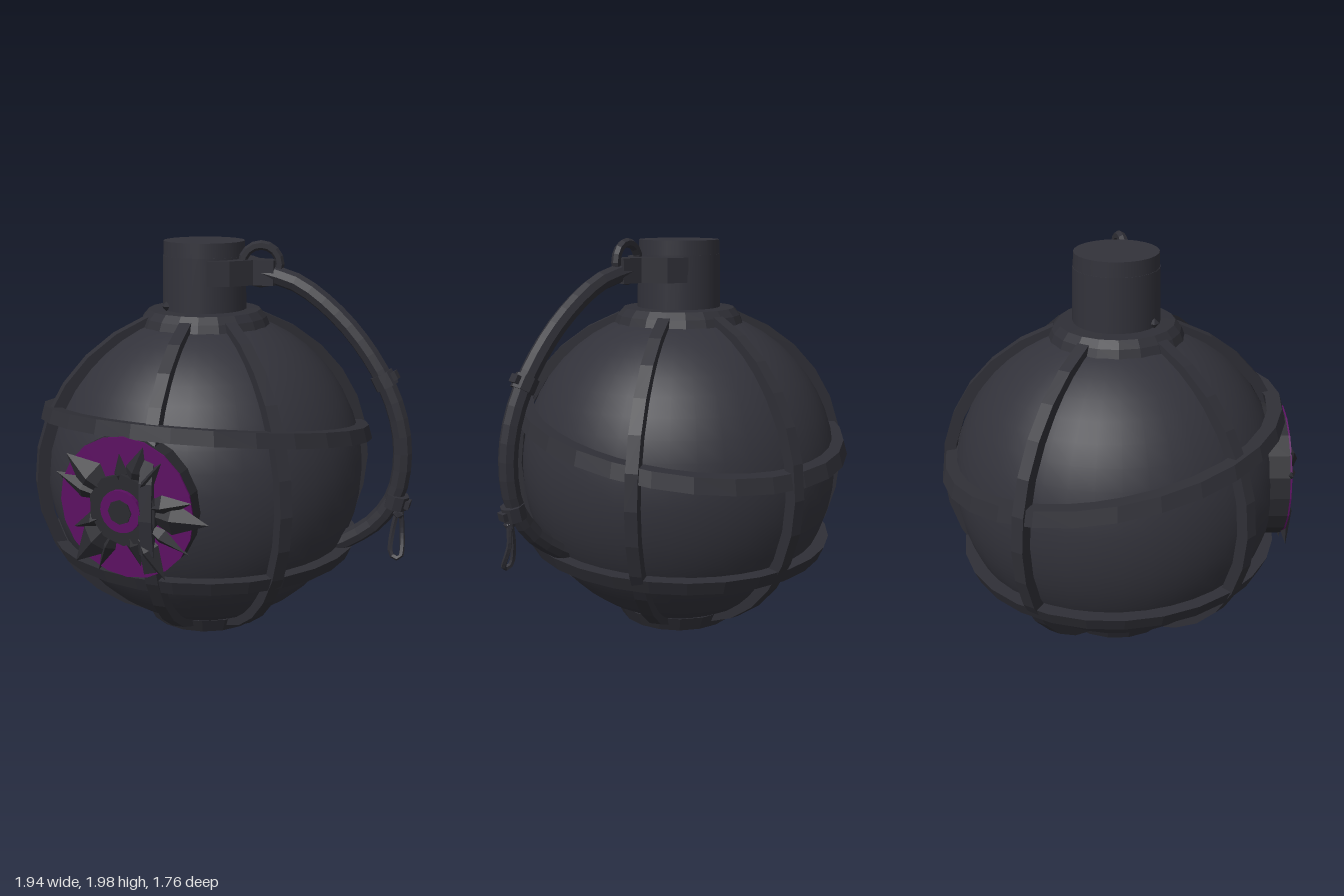
import * as THREE from 'three';

const CX = -0.12, CY = 0.83, CZ = -0.02; // centre of the round body

export function createModel() {
  const model = new THREE.Group();
  const mat = (name, color, flatShading = false) =>
    Object.assign(new THREE.MeshStandardMaterial({ color, flatShading }), { name });
  const shell = mat('charcoal shell', 0x32323a);
  const strap = mat('dark strap', 0x2f2f36, true);
  const petalDark = mat('dark petal', 0x2a2a2f, true);
  const purple = mat('purple', 0x5c1062, true);

  const add = (name, geometry, material, x = 0, y = 0, z = 0, parent = model) => {
    const mesh = new THREE.Mesh(geometry, material);
    mesh.name = name;
    mesh.position.set(x, y, z);
    parent.add(mesh);
    return mesh;
  };
  const v2 = (x, y) => new THREE.Vector2(x, y);
  const v3 = (x, y, z) => new THREE.Vector3(x, y, z);
  const rad = THREE.MathUtils.degToRad;

  // Round body
  const bodyProfile = [];
  for (let i = 0; i <= 20; i++) {
    const a = rad(-72 + i * 7.2);
    bodyProfile.push(v2(0.81 * Math.cos(a), 0.81 * Math.sin(a)));
  }
  add('body', new THREE.LatheGeometry(bodyProfile, 40), shell, CX, CY, CZ);

  // Flat foot, collar and neck
  add('foot', new THREE.CylinderGeometry(0.34, 0.3, 0.08, 18), strap, CX, 0.05, CZ);
  add('collar', new THREE.LatheGeometry(
    [v2(0.33, 1.56), v2(0.31, 1.61), v2(0.28, 1.645), v2(0.19, 1.65)], 20), strap, CX, 0, CZ);
  add('neck', new THREE.CylinderGeometry(0.205, 0.21, 0.28, 24), shell, CX, 1.77, CZ);
  add('neckCap', new THREE.CylinderGeometry(0.2, 0.203, 0.08, 24), shell, CX, 1.94, CZ);
  add('neckRivet', new THREE.OctahedronGeometry(0.025), strap, -0.25, 1.67, 0.15);

  // Upright ribs, bowed around the body
  const ribPoints = [];
  for (let i = 0; i <= 12; i++) {
    const a = rad(-70 + i * 140 / 12);
    ribPoints.push(v2(0.88 * Math.cos(a), 0.84 * Math.sin(a)));
  }
  for (let i = 12; i >= 0; i--) {
    const a = rad(-70 + i * 140 / 12);
    ribPoints.push(v2(0.82 * Math.cos(a), 0.79 * Math.sin(a)));
  }
  const ribGeometry = new THREE.ExtrudeGeometry(new THREE.Shape(ribPoints),
    { depth: 0.06, bevelEnabled: false }).translate(0, 0, -0.03);
  for (const angle of [6, 48, 124, 177, -122, -48]) {
    add('rib', ribGeometry, strap, CX, CY, CZ).rotation.y = rad(angle - 90);
  }

  // Tilted bands: a leaning closed profile, sheared along z
  const band = (name, y, z, low, high, slope) => {
    const g = new THREE.LatheGeometry([
      v2(low - 0.07, -0.035), v2(low, -0.035), v2(high, 0.035),
      v2(high - 0.07, 0.035), v2(low - 0.07, -0.035)], 28);
    const p = g.attributes.position;
    for (let i = 0; i < p.count; i++) p.setY(i, p.getY(i) + p.getZ(i) * slope);
    g.computeVertexNormals();
    add(name, g, strap, CX, y, z);
  };
  band('upperBand', 1.07, -0.045, 0.85, 0.83, 0.178);
  band('lowerBand', 0.455, -0.01, 0.77, 0.8, 0.035);

  // Front rosette
  const rosette = new THREE.Group();
  rosette.name = 'rosette';
  rosette.position.set(-0.15, 0.86, 0);
  model.add(rosette);
  const disc = (name, r, z0, z1, material, sides = 20) =>
    add(name, new THREE.CylinderGeometry(r, r, z1 - z0, sides).rotateX(Math.PI / 2),
      material, 0, 0, (z0 + z1) / 2, rosette);
  disc('rosetteBase', 0.335, 0.66, 0.797, petalDark);
  disc('rosetteFace', 0.335, 0.797, 0.805, purple);
  disc('rosetteHub', 0.17, 0.8, 0.835, petalDark, 10);
  // angle, tip distance, half width
  const petals = [[72, 0.33, 0.06], [52, 0.3, 0.04], [142, 0.37, 0.085], [160, 0.38, 0.06],
    [205, 0.3, 0.04], [228, 0.4, 0.08], [245, 0.36, 0.04], [285, 0.28, 0.045],
    [302, 0.37, 0.06], [330, 0.36, 0.04], [357, 0.41, 0.08], [12, 0.34, 0.05], [95, 0.27, 0.04]];
  petals.forEach(([angle, tip, width], i) => {
    const half = (tip - 0.06) / 2, mid = 0.06 + half;
    const g = new THREE.OctahedronGeometry(1).scale(half, width, 0.045);
    const a = rad(angle);
    add('petal', g, petalDark, Math.cos(a) * mid, Math.sin(a) * mid,
      0.8 + (i % 3) * 0.005, rosette).rotation.z = a;
  });
  disc('rosetteRing', 0.1, 0.83, 0.855, purple);
  disc('rosetteCentre', 0.058, 0.85, 0.861, petalDark, 8);

  // Tapered bracket on the side of the neck
  const plan = new THREE.Shape([v2(-0.02, -0.19), v2(0.08, -0.15), v2(0.16, -0.05),
    v2(0.26, -0.04), v2(0.26, 0.04), v2(0.16, 0.05), v2(0.08, 0.15), v2(-0.02, 0.19)]);
  add('bracket', new THREE.ExtrudeGeometry(plan, { depth: 0.12, bevelEnabled: false })
    .rotateX(-Math.PI / 2), strap, 0, 1.78, -0.01);
  add('pinRing', new THREE.TorusGeometry(0.09, 0.023, 6, 16), strap, 0.19, 1.88, 0.01)
    .rotation.y = 0.25;

  // Curved side handle
  const path = new THREE.CatmullRomCurve3([[0.2, 1.84], [0.38, 1.79], [0.6, 1.63],
    [0.78, 1.41], [0.88, 1.2], [0.915, 1], [0.89, 0.8], [0.8, 0.65], [0.68, 0.55], [0.58, 0.49]]
    .map(([x, y]) => v3(x, y, -0.01)));
  add('handle', new THREE.TubeGeometry(path, 22, 0.046, 8), strap);

  // Clasps around the handle
  const clasp = (x, y, angle) => {
    add('clasp', new THREE.CylinderGeometry(0.058, 0.058, 0.07, 8), strap, x, y, -0.01)
      .rotation.z = rad(angle);
    add('claspTab', new THREE.BoxGeometry(0.03, 0.04, 0.05), strap,
      x + 0.055 * Math.cos(rad(angle)), y + 0.055 * Math.sin(rad(angle)), -0.01)
      .rotation.z = rad(angle);
  };
  clasp(0.81, 1.36, 30);
  clasp(0.895, 0.77, -12);

  // Hanging cord loop
  const loop = new THREE.CatmullRomCurve3([v3(0.915, 0.74, 0), v3(0.89, 0.62, 0.01),
    v3(0.895, 0.5, 0.03), v3(0.935, 0.49, 0.03), v3(0.93, 0.62, -0.02)], true);
  add('cordLoop', new THREE.TubeGeometry(loop, 20, 0.013, 5, true), strap);
  add('cordKnot', new THREE.IcosahedronGeometry(0.03), strap, 0.912, 0.71, 0);

  return model;
}
